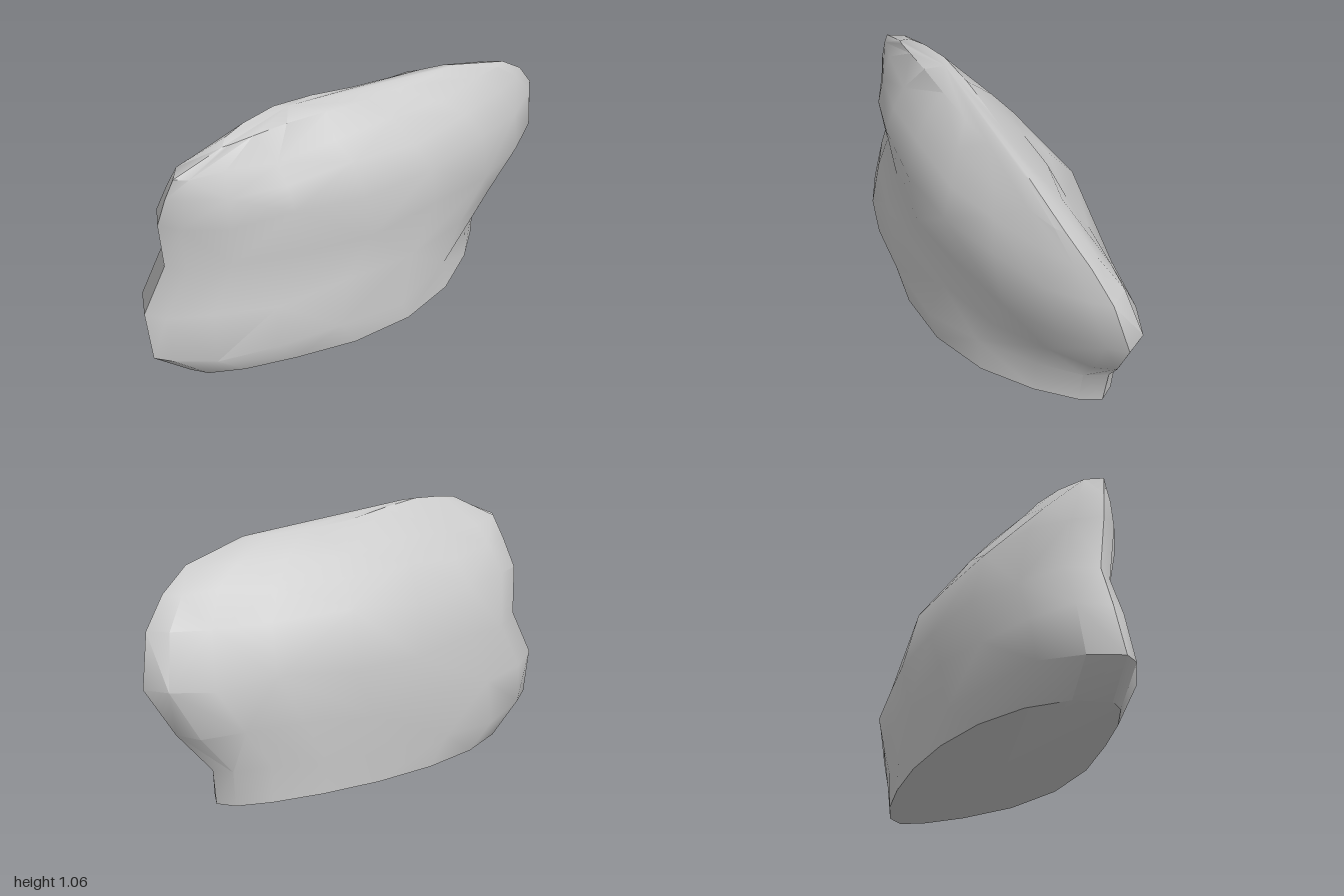
import * as THREE from 'three';
import { toCreasedNormals } from 'three/addons/utils/BufferGeometryUtils.js';

// Cross-sections: y, left x, right x, front z, back z, left tip z, right tip z
const RINGS = [
  [0, -0.85, 0.73, 0.325, -0.32, 0.08, -0.11],
  [0.12, -1, 0.75, 0.34, -0.33, 0.06, -0.12],
  [0.31, -1, 0.88, 0.31, -0.337, 0.01, -0.07],
  [0.51, -0.9, 1, 0.31, -0.337, 0.02, -0.04],
  [0.72, -0.92, 0.95, 0.325, -0.29, 0.03, 0.01],
  [0.84, -0.89, 0.85, 0.27, -0.185, 0.05, 0.05],
  [0.93, -0.86, 0.72, 0.2, -0.105, 0.07, 0.085],
  [1.005, -0.66, 0.45, 0.125, 0.015, 0.1, 0.09],
];
const SIDES = 18;
const LAST = RINGS.length - 1;
const bump = (x, centre, width) => Math.exp(-(((x - centre) / width) ** 2));

// One point on the lens-shaped outline of a ring
function ringPoint(i, j) {
  const [y0, xl, xr, zf, zb, zl, zr] = RINGS[i];
  const a = (j / SIDES) * Math.PI * 2;
  const u = Math.cos(a), s = Math.abs(Math.sin(a));
  const front = Math.sin(a) > 0;
  const x = (xl + xr) / 2 + (u * (xr - xl)) / 2;
  const tip = THREE.MathUtils.lerp(zl, zr, (u + 1) / 2);
  let fullness = Math.pow(s, front ? (u > 0 ? 1.5 : 1.25) : 1);
  if (front) {
    // valley falling from the left waist to the right foot, and chipped base edge
    fullness *= 1 - 0.07 * bump(y0, 0.36 - 0.25 * x, 0.15) * (1 - bump(x, 0, 0.35));
    fullness *= 1 - 0.1 * bump(x, 0.55, 0.2) * bump(y0, 0.18, 0.12);
    if (i === 0) fullness *= 1 - 0.07 * (bump(x, -0.55, 0.2) + bump(x, 0.5, 0.15));
  } else {
    // hollow in the upper right of the back
    fullness *= 1 - 0.43 * bump(x, 0.62, 0.32) * bump(y0, 0.78, 0.24);
    fullness *= 1 - 0.12 * bump(x, 0.5, 0.2) * bump(y0, 0.3, 0.25);
  }
  const z = THREE.MathUtils.lerp(tip, front ? zf : zb, fullness);
  // the crest peaks along its back edge; the other rings waver slightly
  let y = y0;
  if (i === LAST) y += (front ? 0.03 : 0.06) * bump(x, -0.38, 0.3);
  else if (i > 0) y += 0.02 * s * Math.sin(j * 2.3 + i * 1.7);
  if (i === 1) y += 0.03 * Math.max(u, 0);
  return [x, y, z];
}

function rockGeometry() {
  const pos = [], index = [];
  RINGS.forEach((_, i) => {
    for (let j = 0; j < SIDES; j++) pos.push(...ringPoint(i, j));
  });
  const base = pos.length / 3, crest = base + 1;
  pos.push(-0.06, 0, 0, -0.33, 1.06, 0.05);
  const id = (i, j) => i * SIDES + (j % SIDES);
  for (let j = 0; j < SIDES; j++) {
    for (let i = 0; i < LAST; i++) {
      const a = id(i, j), b = id(i, j + 1), c = id(i + 1, j), d = id(i + 1, j + 1);
      // alternate the diagonals for an irregular, chipped surface
      if ((i + j) % 2) index.push(a, c, b, b, c, d);
      else index.push(a, c, d, a, d, b);
    }
    index.push(base, id(0, j), id(0, j + 1));
    index.push(crest, id(LAST, j + 1), id(LAST, j));
  }
  const g = new THREE.BufferGeometry();
  g.setAttribute('position', new THREE.Float32BufferAttribute(pos, 3));
  g.setIndex(index);
  return toCreasedNormals(g, 0.75);
}

export function createModel() {
  const group = new THREE.Group();
  group.name = 'boulder';
  const stone = new THREE.MeshStandardMaterial({ color: 0xc9c9c9 });
  stone.name = 'stone grey';
  const rock = new THREE.Mesh(rockGeometry(), stone);
  rock.name = 'rock';
  group.add(rock);
  return group;
}
